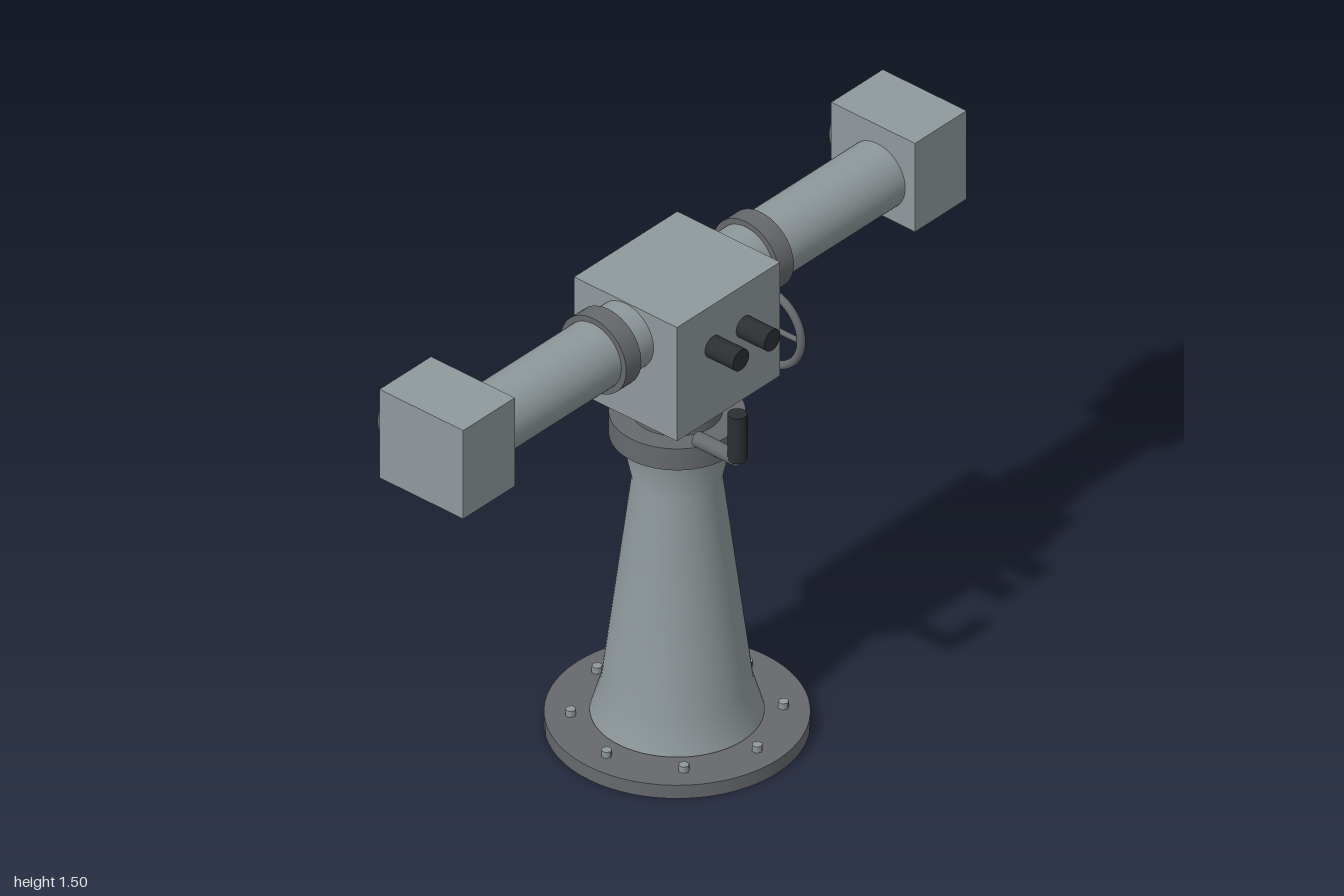
import * as THREE from 'three';

const paint = (color) => new THREE.MeshStandardMaterial({ color });

export function createModel() {
  const model = new THREE.Group();
  const light = paint(0x8f999c), dark = paint(0x66696d), black = paint(0x2b2f32), glass = paint(0x2f4548);

  const add = (name, geometry, material, x = 0, y = 0, z = 0, parent = model) => {
    const mesh = new THREE.Mesh(geometry, material);
    mesh.name = name;
    mesh.position.set(x, y, z);
    parent.add(mesh);
    return mesh;
  };
  // Cylinder lying along the x, y or z axis
  const rod = (r, length, axis = 'y', sides = 48) => {
    const g = new THREE.CylinderGeometry(r, r, length, sides);
    if (axis === 'x') g.rotateZ(Math.PI / 2);
    if (axis === 'z') g.rotateX(Math.PI / 2);
    return g;
  };

  // Base flange with a ring of hexagonal bolts
  add('baseFlange', rod(0.35, 0.042, 'y', 64), dark, 0, 0.021);
  for (let i = 0; i < 8; i++) {
    const a = (i * Math.PI) / 4;
    add('baseBolt', rod(0.015, 0.022, 'y', 6), light, 0.28 * Math.cos(a), 0.05, 0.28 * Math.sin(a));
  }

  // Flared pedestal, open at both ends
  const profile = [[0.23, 0.05], [0.2, 0.15], [0.12, 0.79], [0.15, 0.93]].map(([r, y]) => new THREE.Vector2(r, y));
  const pedestalPaint = light.clone();
  pedestalPaint.side = THREE.DoubleSide;
  add('pedestal', new THREE.LatheGeometry(profile, 64), pedestalPaint);

  // Swivel bearing
  add('collar', rod(0.18, 0.068, 'y', 64), dark, 0, 0.959);
  add('neck', rod(0.12, 0.1), dark, 0, 1.035);

  // Central housing
  add('housing', new THREE.BoxGeometry(0.41, 0.36, 0.36), light, 0, 1.26, 0);

  // Two mirrored arms, each with a clamp ring and a lens head facing the rear
  for (const s of [1, -1]) {
    const arm = new THREE.Group();
    arm.name = s > 0 ? 'leftArm' : 'rightArm';
    model.add(arm);
    add('armTube', rod(0.098, 0.62, 'x'), light, s * 0.5, 1.338, 0, arm);
    add('clampRing', rod(0.115, 0.06, 'x'), dark, s * 0.303, 1.338, 0, arm);
    add('lensHead', new THREE.BoxGeometry(0.205, 0.28, 0.293), light, s * 0.8975, 1.355, -0.0145, arm);
    add('lensBarrel', rod(0.08, 0.026, 'z'), dark, s * 0.897, 1.365, -0.172, arm);
    add('lensRim', new THREE.TorusGeometry(0.07, 0.01, 12, 48), dark, s * 0.897, 1.365, -0.184, arm);
    add('lensGlass', rod(0.063, 0.01, 'z'), glass, s * 0.897, 1.365, -0.186, arm);
    add('eyepiece', rod(0.032, 0.1, 'z', 32), black, s * 0.062, 1.308, 0.228);
  }

  // Elevation handwheel on the left side
  const wheel = new THREE.Group();
  wheel.name = 'handwheel';
  wheel.position.set(0.277, 1.155, 0.077);
  model.add(wheel);
  const rim = new THREE.TorusGeometry(0.113, 0.012, 12, 64).rotateY(Math.PI / 2);
  add('wheelRim', rim, dark, 0, 0, 0, wheel);
  for (const axis of ['y', 'z']) add('wheelSpoke', rod(0.008, 0.226, axis, 12), dark, 0, 0, 0, wheel);
  add('wheelShaft', rod(0.02, 0.08, 'x', 24), light, -0.04, 0, 0, wheel);

  // Traverse crank on the right side
  add('crankArm', rod(0.022, 0.142, 'z', 24), dark, -0.107, 1.031, 0.235);
  add('crankGrip', rod(0.026, 0.142, 'y', 24), black, -0.107, 1.102, 0.305);

  return model;
}
